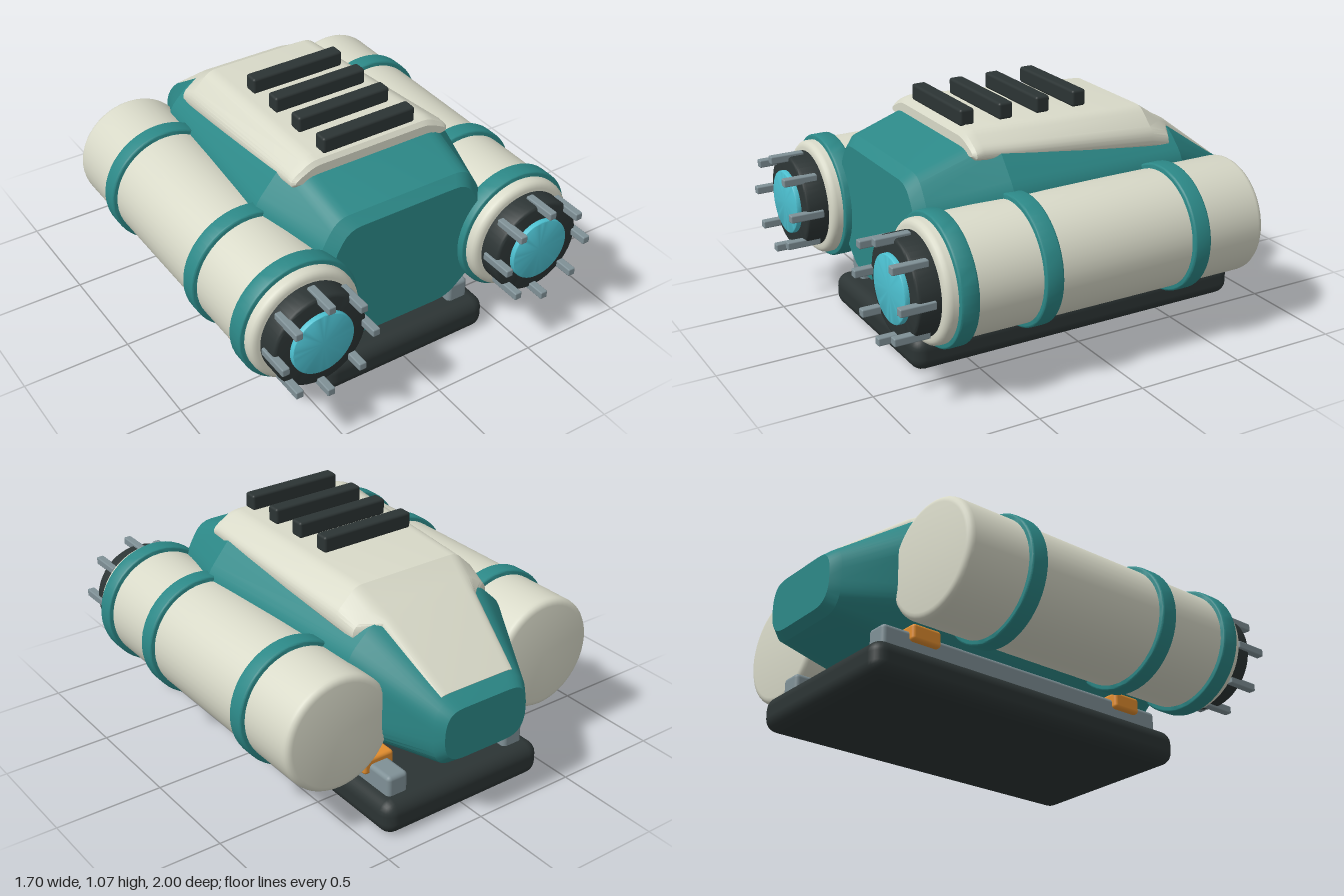
import * as THREE from 'three';
import { toCreasedNormals } from 'three/addons/utils/BufferGeometryUtils.js';
import { RoundedBoxGeometry } from 'three/addons/geometries/RoundedBoxGeometry.js';

const paint = (name, color) => {
  const m = new THREE.MeshStandardMaterial({ color });
  m.name = name;
  return m;
};

// Symmetric section: half outline from bottom to top, mirrored, corners rounded
function section(half, r) {
  const pts = [...half, ...half.map(([x, y]) => [-x, y]).reverse()].map(p => new THREE.Vector2(...p));
  const out = [], n = pts.length, steps = 4;
  pts.forEach((p, i) => {
    const toward = q => {
      const d = q.clone().sub(p), len = d.length();
      return p.clone().addScaledVector(d, Math.min(r, len * 0.45) / len);
    };
    const a = toward(pts[(i + n - 1) % n]), b = toward(pts[(i + 1) % n]);
    for (let s = 0; s <= steps; s++) {
      const t = s / steps, u = 1 - t;
      out.push([u * u * a.x + 2 * u * t * p.x + t * t * b.x, u * u * a.y + 2 * u * t * p.y + t * t * b.y]);
    }
  });
  return out;
}

// Skin between sections ordered from back to front, closed by end caps
function loft(stations, r) {
  const pos = [], idx = [];
  const rings = stations.map(s => section(s.half, r));
  const n = rings[0].length, last = (rings.length - 1) * n;
  rings.forEach((ring, i) => ring.forEach(([x, y]) => pos.push(x, y, stations[i].z)));
  for (let i = 0; i < rings.length - 1; i++)
    for (let j = 0; j < n; j++) {
      const k = (j + 1) % n, a = i * n + j, b = i * n + k;
      idx.push(a, b, a + n, b, b + n, a + n);
    }
  for (let j = 1; j < n - 1; j++) {
    idx.push(0, j + 1, j);
    idx.push(last, last + j, last + j + 1);
  }
  const g = new THREE.BufferGeometry();
  g.setAttribute('position', new THREE.Float32BufferAttribute(pos, 3));
  g.setIndex(idx);
  return toCreasedNormals(g, 0.35);
}

// Turned part along z from [radius, z] points, back to front
function turned(points) {
  const g = new THREE.LatheGeometry(points.map(p => new THREE.Vector2(...p)), 48);
  g.rotateX(Math.PI / 2);
  return toCreasedNormals(g, 0.6);
}

// Disc with softened rims
function drum(radius, z0, z1, b) {
  const pts = [[0, z0]];
  for (let i = 0; i <= 4; i++) {
    const a = (i / 4) * Math.PI / 2;
    pts.push([radius - b + b * Math.sin(a), z0 + b - b * Math.cos(a)]);
  }
  for (let i = 0; i <= 4; i++) {
    const a = (i / 4) * Math.PI / 2;
    pts.push([radius - b + b * Math.cos(a), z1 - b + b * Math.sin(a)]);
  }
  pts.push([0, z1]);
  return turned(pts);
}

export function createModel() {
  const teal = paint('teal', 0x2c8887);
  const cream = paint('cream', 0xd8d9c8);
  const dark = paint('charcoal', 0x2c3434);
  const grey = paint('steel grey', 0x7f9096);
  const cyan = paint('cyan', 0x4cc0d0);
  const orange = paint('orange', 0xe08c2e);

  const model = new THREE.Group();
  model.name = 'podCraft';
  const add = (parent, name, geometry, material, x = 0, y = 0, z = 0) => {
    const mesh = new THREE.Mesh(geometry, material);
    mesh.name = name;
    mesh.position.set(x, y, z);
    parent.add(mesh);
    return mesh;
  };
  const box = (w, h, d, r) => new RoundedBoxGeometry(w, h, d, 3, r);

  // Skid base
  add(model, 'base', box(0.86, 0.16, 1.67, 0.06), dark, 0, 0.08, -0.065);

  // Hull: bottom width and height, side width with lower and upper heights, top width and height
  const hull = (z, bw, by, sw, low, mid, tw, ty) => ({ z, half: [[bw, by], [sw, low], [sw, mid], [tw, ty]] });
  add(model, 'hull', loft([
    hull(-1.0, 0.17, 0.35, 0.22, 0.41, 0.53, 0.18, 0.59),
    hull(-0.96, 0.2, 0.32, 0.25, 0.39, 0.56, 0.2, 0.62),
    hull(-0.6, 0.24, 0.26, 0.42, 0.4, 0.73, 0.29, 0.855),
    hull(0.33, 0.26, 0.21, 0.517, 0.45, 0.77, 0.345, 0.975),
    hull(0.685, 0.25, 0.21, 0.415, 0.36, 0.72, 0.33, 0.86),
    hull(0.73, 0.23, 0.24, 0.375, 0.37, 0.7, 0.3, 0.82),
  ], 0.06), teal);

  // Roof shell over the hull
  const shell = (z, by, sw, sy, tw, ty) => ({ z, half: [[sw, by], [sw, sy], [tw, ty]] });
  add(model, 'roofShell', loft([
    shell(-0.935, 0.56, 0.2, 0.615, 0.19, 0.638),
    shell(-0.62, 0.76, 0.26, 0.83, 0.235, 0.868),
    shell(-0.56, 0.77, 0.36, 0.83, 0.25, 0.9),
    shell(-0.46, 0.79, 0.375, 0.865, 0.27, 0.965),
    shell(0.41, 0.89, 0.4, 0.94, 0.3, 1.005),
    shell(0.445, 0.895, 0.4, 0.935, 0.3, 0.995),
    shell(0.46, 0.91, 0.385, 0.93, 0.29, 0.975),
  ], 0.035), cream);

  // Roof fins
  for (const z of [0.4, 0.212, 0.028, -0.157])
    add(model, 'roofFin', box(0.465, 0.075, 0.068, 0.012), dark, 0, 1.035, z);

  // Side pods, rails and brackets, mirrored
  for (const side of [1, -1]) {
    add(model, 'rail', box(0.105, 0.13, 1.53, 0.02), grey, side * 0.322, 0.187, -0.068);
    for (const z of [0.5, -0.63])
      add(model, 'bracket', box(0.155, 0.075, 0.145, 0.015), orange, side * 0.323, 0.242, z);

    const pod = new THREE.Group();
    pod.name = side > 0 ? 'leftPod' : 'rightPod';
    pod.position.set(side * 0.56, 0.495, 0);
    model.add(pod);
    add(pod, 'podTank', drum(0.265, -0.75, 0.815, 0.03), cream);
    for (const z of [0.72, 0.333, -0.405])
      add(pod, 'podBand', drum(0.288, z - 0.042, z + 0.042, 0.01), teal);
    add(pod, 'lensHousing', drum(0.222, 0.78, 0.917, 0.015), dark);
    add(pod, 'lens', drum(0.147, 0.9, 0.94, 0.006), cyan);
    for (let i = 0; i < 8; i++) {
      const a = i * Math.PI / 4;
      add(pod, 'prong', box(0.036, 0.036, 0.16, 0.006), grey, 0.215 * Math.cos(a), 0.215 * Math.sin(a), 0.92);
    }
  }
  return model;
}
